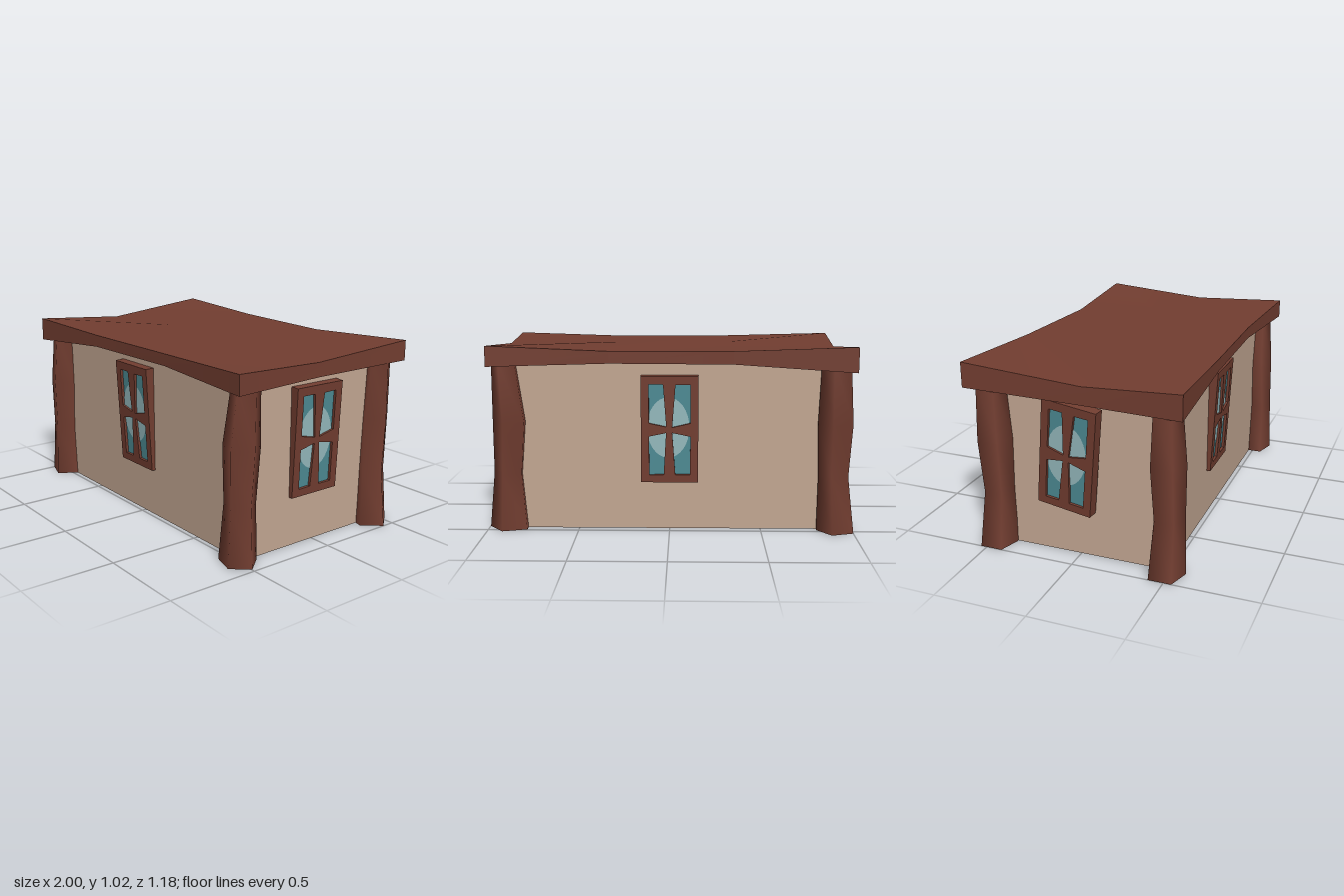
import * as THREE from 'three';

const mat = (name, color) => Object.assign(new THREE.MeshStandardMaterial({ color }), { name });
const wood = mat('brown wood', 0x733e31);
const plaster = mat('beige plaster', 0xc4a893);
const glass = mat('teal glass', 0x4f8d96);
const shine = mat('pale glass shine', 0x97bcc0);
// Walls are single sheets; posts and window frames are open shells
wood.side = plaster.side = THREE.DoubleSide;

function add(parent, name, geometry, material) {
  const mesh = new THREE.Mesh(geometry, material);
  mesh.name = name;
  parent.add(mesh);
  return mesh;
}

const polygon = (points, Type = THREE.Shape) => new Type(points.map(([x, y]) => new THREE.Vector2(x, y)));

// Sagging slab: a box grid whose columns and rows are moved to hand-shaped positions
function roofGeometry() {
  const cols = [-0.985, -0.34, 0.32, 0.97];
  const back = [-0.59, -0.56, -0.53, -0.56];
  const front = [0.583, 0.566, 0.55, 0.589];
  const top = [[1.02, 0.995, 0.99, 1.02], [0.96, 0.988, 0.985, 0.976], [0.995, 0.98, 0.978, 0.995]];
  const bottom = [[0.885, 0.925, 0.925, 0.91], [0.863, 0.92, 0.92, 0.9], [0.862, 0.913, 0.913, 0.89]];
  const geo = new THREE.BoxGeometry(3, 1, 2, 3, 1, 2);
  const p = geo.attributes.position;
  for (let i = 0; i < p.count; i++) {
    const c = Math.round(p.getX(i) + 1.5);
    const r = Math.round(p.getZ(i) + 1);
    let x = cols[c];
    if (r === 1 && c === 0) x = -0.955;
    if (r === 1 && c === 3) x = 0.95;
    if (r === 2 && c === 3) x = 0.98;
    const y = (p.getY(i) > 0 ? top : bottom)[r][c];
    p.setXYZ(i, x, y, [back[c], 0.055, front[c]][r]);
  }
  geo.computeVertexNormals();
  return geo;
}

// Crooked five-sided log: each ring is a pentagon, corner towards +x, fitted to [y, xMin, xMax, zMin, zMax]
function postGeometry(rings) {
  const sides = 5;
  const low = Math.cos(Math.PI * 0.8);
  const reach = Math.sin(Math.PI * 0.4);
  const pos = [];
  const index = [];
  rings.forEach(([y, x0, x1, z0, z1], k) => {
    for (let i = 0; i < sides; i++) {
      const a = (i / sides) * Math.PI * 2;
      const x = THREE.MathUtils.mapLinear(Math.cos(a), low, 1, x0, x1);
      const z = THREE.MathUtils.mapLinear(Math.sin(a), -reach, reach, z0, z1);
      pos.push(x, y, z);
      if (k === 0) continue;
      const j = (i + 1) % sides;
      const b = (k - 1) * sides;
      const t = k * sides;
      index.push(b + i, t + i, t + j, b + i, t + j, b + j);
    }
  });
  const geo = new THREE.BufferGeometry();
  geo.setAttribute('position', new THREE.Float32BufferAttribute(pos, 3));
  geo.setIndex(index);
  geo.computeVertexNormals();
  return geo;
}

// Window frame with four uneven panes; the back is left open
function frameGeometry() {
  const w = 0.155;
  const h = 0.2925;
  const shape = polygon([[-w, -h], [w, -h], [w, h], [-w, h]]);
  const panes = [
    [[-0.112, 0.247], [-0.035, 0.247], [-0.018, 0.016], [-0.112, 0.036]],
    [[0.032, 0.245], [0.112, 0.247], [0.112, 0.036], [0.014, 0.013]],
    [[-0.112, -0.037], [-0.019, -0.017], [-0.032, -0.25], [-0.11, -0.252]],
    [[0.014, -0.017], [0.112, -0.037], [0.112, -0.25], [0.031, -0.25]],
  ];
  panes.forEach((pane) => shape.holes.push(polygon(pane, THREE.Path)));
  const geo = new THREE.ExtrudeGeometry(shape, { depth: 0.06, bevelEnabled: false }).translate(0, 0, -0.025);
  // The back cap is the first half of the cap triangles
  const skip = geo.groups[0].count / 2;
  const open = new THREE.BufferGeometry();
  for (const key of ['position', 'normal']) {
    open.setAttribute(key, new THREE.BufferAttribute(geo.attributes[key].array.slice(skip * 3), 3));
  }
  return open;
}

export function createModel() {
  const model = new THREE.Group();
  model.name = 'cottage';
  add(model, 'roof', roofGeometry(), wood);

  // Corner posts
  const posts = {
    frontLeftPost: [[0, 0.78, 0.98, 0.405, 0.588], [0.31, 0.81, 0.965, 0.415, 0.575],
      [0.6, 0.785, 0.965, 0.38, 0.57], [0.91, 0.83, 0.965, 0.4, 0.545]],
    backLeftPost: [[0, 0.785, 1, -0.53, -0.33], [0.31, 0.81, 0.97, -0.505, -0.34],
      [0.6, 0.785, 0.965, -0.53, -0.355], [0.92, 0.83, 0.965, -0.51, -0.365]],
    frontRightPost: [[0, -1, -0.8, 0.38, 0.58], [0.31, -0.965, -0.81, 0.405, 0.57],
      [0.6, -0.98, -0.8, 0.385, 0.572], [0.91, -0.96, -0.81, 0.4, 0.545]],
    backRightPost: [[0, -1, -0.805, -0.57, -0.375], [0.31, -0.965, -0.81, -0.54, -0.38],
      [0.6, -0.98, -0.8, -0.56, -0.375], [0.92, -0.96, -0.81, -0.555, -0.4]],
  };
  for (const [name, rings] of Object.entries(posts)) add(model, name, postGeometry(rings), wood);

  // Four walls, each with its own slightly leaning window
  const frame = frameGeometry();
  const pane = new THREE.PlaneGeometry(0.25, 0.52);
  const glare = new THREE.CircleGeometry(1, 32).scale(0.115, 0.167, 1);
  const sides = [
    { name: 'front', angle: 0, dist: 0.475, width: 1.75, shift: 0, x: -0.052, out: 0, tilt: [0.05, 0, 0] },
    { name: 'left', angle: Math.PI / 2, dist: 0.875, width: 0.925, shift: -0.0125, x: -0.012, out: 0, tilt: [0.045, 0, 0] },
    { name: 'back', angle: Math.PI, dist: 0.45, width: 1.75, shift: 0, x: 0, out: 0, tilt: [0.02, 0, 0] },
    { name: 'right', angle: -Math.PI / 2, dist: 0.875, width: 0.925, shift: 0.0125, x: -0.04, out: 0.03, tilt: [0.04, -0.1, -0.1] },
  ];
  for (const s of sides) {
    const side = new THREE.Group();
    side.name = s.name + 'Side';
    side.rotation.y = s.angle;
    model.add(side);
    const wall = add(side, s.name + 'Wall', new THREE.PlaneGeometry(s.width, 0.93), plaster);
    wall.position.set(s.shift, 0.465, s.dist);

    const win = new THREE.Group();
    win.name = s.name + 'Window';
    win.position.set(s.x, 0.5615, s.dist + s.out);
    win.rotation.set(...s.tilt);
    side.add(win);
    add(win, 'windowFrame', frame, wood);
    add(win, 'windowGlass', pane, glass).position.z = 0.02;
    add(win, 'glassShine', glare, shine).position.set(-0.008, 0.01, 0.023);
  }
  return model;
}
